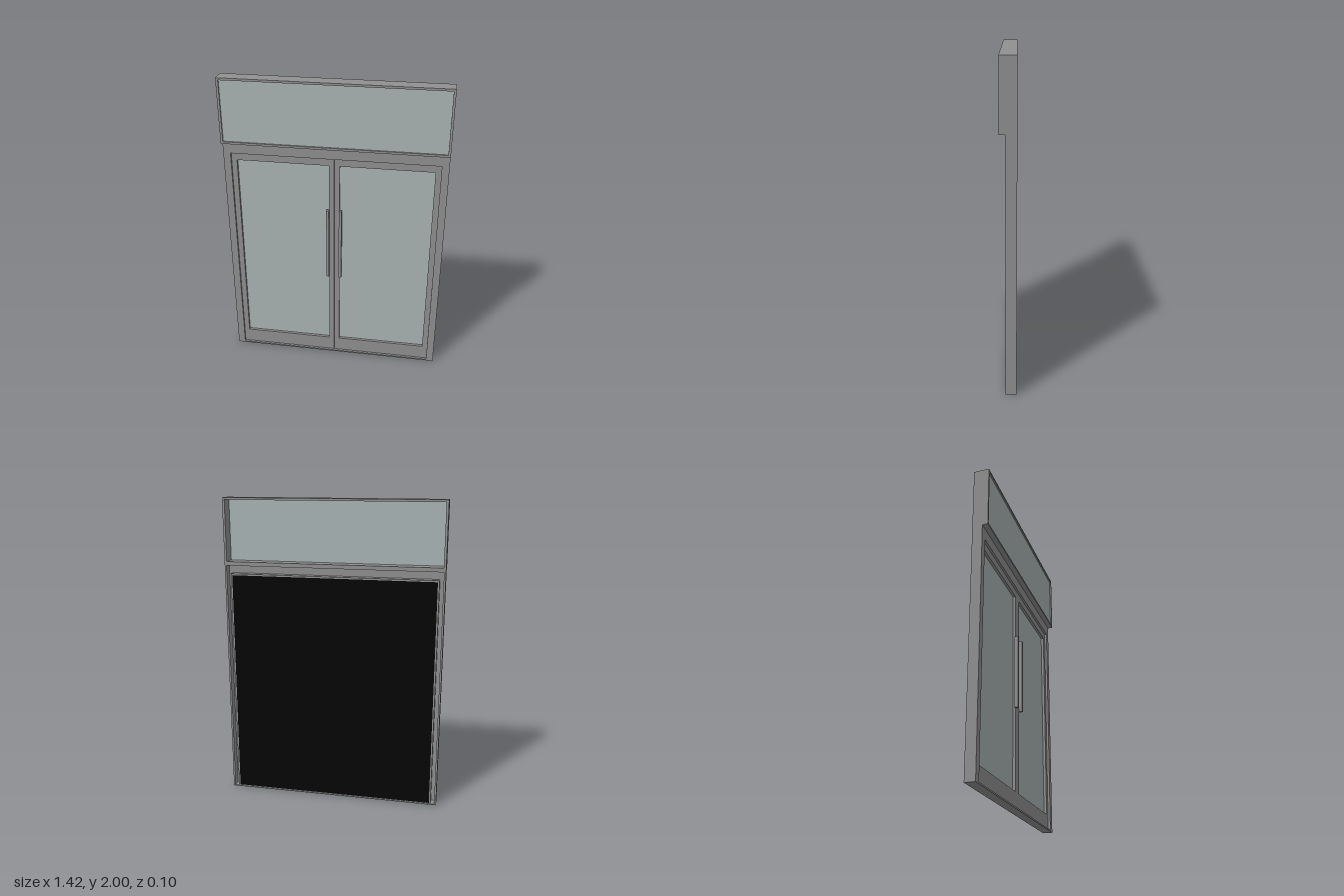
import * as THREE from 'three';

export function createModel() {
  const model = new THREE.Group();
  model.name = 'doubleDoorWithTransom';

  const material = (name, color) => {
    const m = new THREE.MeshStandardMaterial({ color });
    m.name = name;
    return m;
  };
  const metal = material('grey metal', 0x909091);
  const glass = material('pale glass', 0xa9b4b4);
  const black = material('black backing', 0x050505);

  const add = (name, geometry, mat, parent = model) => {
    const mesh = new THREE.Mesh(geometry, mat);
    mesh.name = name;
    parent.add(mesh);
    return mesh;
  };

  // Box given by its limits on each axis
  const box = (name, [x0, x1], [y0, y1], [z0, z1], mat, parent) => {
    const g = new THREE.BoxGeometry(x1 - x0, y1 - y0, z1 - z0);
    g.translate((x0 + x1) / 2, (y0 + y1) / 2, (z0 + z1) / 2);
    return add(name, g, mat, parent);
  };

  // Rectangular ring: outer and inner limits in x and y, extruded along z
  const ring = (name, [ox0, ox1, oy0, oy1], [ix0, ix1, iy0, iy1], [z0, z1], parent) => {
    const shape = new THREE.Shape();
    shape.moveTo(ox0, oy0).lineTo(ox1, oy0).lineTo(ox1, oy1).lineTo(ox0, oy1).closePath();
    const hole = new THREE.Path();
    hole.moveTo(ix0, iy0).lineTo(ix0, iy1).lineTo(ix1, iy1).lineTo(ix1, iy0).closePath();
    shape.holes.push(hole);
    const g = new THREE.ExtrudeGeometry(shape, { depth: z1 - z0, bevelEnabled: false });
    g.translate(0, 0, z0);
    return add(name, g, metal, parent);
  };

  const W = 0.712;     // half width
  const BACK = -0.05;

  // Transom: deep open-backed frame with glass near the front
  const transom = new THREE.Group();
  transom.name = 'transom';
  model.add(transom);
  ring('transomFrame', [-W, W, 1.58, 2], [-0.697, 0.697, 1.594, 1.986], [BACK, 0.05], transom);
  box('transomGlass', [-0.697, 0.697], [1.594, 1.986], [0.034, 0.04], glass, transom);

  // Door surround: front plate, outer lip and inner reveal with a groove behind
  const surround = new THREE.Group();
  surround.name = 'doorSurround';
  model.add(surround);
  const opening = [-0.665, 0.665, 0.01, 1.505];
  ring('frontPlate', [-W, W, 0, 1.58], opening, [0.003, 0.015], surround);
  ring('outerLip', [-W, W, 0, 1.58], [-0.7, 0.7, 0.008, 1.568], [BACK, 0.003], surround);
  ring('innerReveal', [-0.675, 0.675, 0.002, 1.515], opening, [-0.045, 0.003], surround);

  // Dark panel closing the back of the opening
  box('backPanel', opening.slice(0, 2), opening.slice(2), [-0.044, -0.038], black);

  // Pair of mirrored door leaves
  for (const side of [-1, 1]) {
    const door = new THREE.Group();
    door.name = side > 0 ? 'leftDoor' : 'rightDoor';
    model.add(door);
    const span = (a, b) => (side > 0 ? [a, b] : [-b, -a]);
    ring('doorFrame', [...span(0.001, 0.665), 0.01, 1.505],
      [...span(0.035, 0.63), 0.11, 1.455], [-0.036, 0], door);
    box('doorGlass', span(0.035, 0.63), [0.11, 1.455], [-0.026, -0.018], glass, door);
    box('handle', span(0.033, 0.05), [0.645, 1.145], [-0.002, 0.022], metal, door);
  }

  return model;
}
